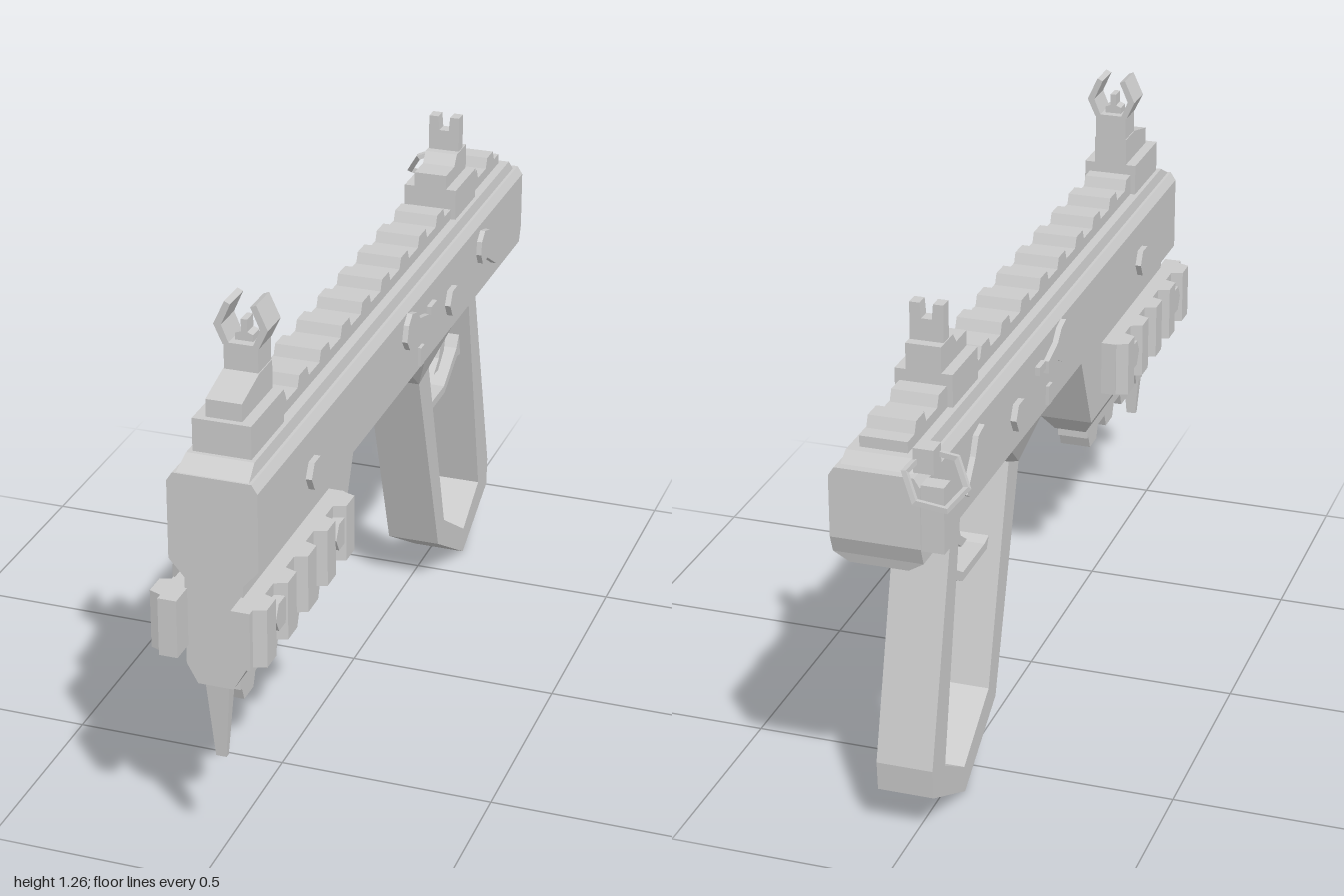
import * as THREE from 'three';
import { ConvexGeometry } from 'three/addons/geometries/ConvexGeometry.js';

const mat = new THREE.MeshStandardMaterial({ color: 0xcccccc, flatShading: true, side: THREE.DoubleSide });

export function createModel() {
  const root = new THREE.Group();
  root.name = 'model';
  const body = new THREE.Group();
  body.name = 'centredParts';
  body.position.x = 0.02;
  root.add(body);

  const add = (name, geo, parent = body) => {
    const m = new THREE.Mesh(geo, mat);
    m.name = name;
    parent.add(m);
    return m;
  };
  const shapeOf = pts => new THREE.Shape(pts.map(p => new THREE.Vector2(...p)));
  // side profile [z, y] extruded from x0 to x1
  const side = (name, pts, x0, x1) => {
    const g = new THREE.ExtrudeGeometry(shapeOf(pts), { depth: x1 - x0, bevelEnabled: false });
    g.rotateY(-Math.PI / 2).translate(x1, 0, 0);
    return add(name, g);
  };
  // front profile [x, y] extruded from z0 to z1
  const front = (name, pts, z0, z1) => {
    const g = new THREE.ExtrudeGeometry(shapeOf(pts), { depth: z1 - z0, bevelEnabled: false });
    return add(name, g.translate(0, 0, z0));
  };
  const box = (name, x0, x1, y0, y1, z0, z1) =>
    add(name, new THREE.BoxGeometry(x1 - x0, y1 - y0, z1 - z0)
      .translate((x0 + x1) / 2, (y0 + y1) / 2, (z0 + z1) / 2));
  // convex block from [half width, y, z] corners, mirrored in x
  const hull = (name, pts) => add(name, new ConvexGeometry(
    pts.flatMap(([x, y, z]) => [new THREE.Vector3(x, y, z), new THREE.Vector3(-x, y, z)])));
  // toothed rail outline along z: base a, root b, tooth top c
  const railProfile = (z0, z1, a, b, c, teeth, wide, narrow) => {
    const pts = [[z0, a], [z0, b]];
    for (const t of teeth) pts.push([t - wide, b], [t - narrow, c], [t + narrow, c], [t + wide, b]);
    pts.push([z1, b], [z1, a]);
    return pts;
  };
  const series = (start, step, n) => Array.from({ length: n }, (_, i) => start + i * step);

  // receiver
  hull('receiver', [
    [0.1, 0.745, 0.94], [0.1, 0.925, 0.94], [0.087, 0.945, 0.94],
    [0.1, 0.745, -0.945], [0.1, 0.785, -0.96], [0.1, 0.925, -0.96], [0.087, 0.945, -0.96]]);
  hull('receiverTop', [
    [0.08, 0.945, 0.935], [0.075, 0.97, 0.89], [0.08, 0.945, -0.94], [0.075, 0.97, -0.92]]);
  hull('receiverUnderside', [
    [0.1, 0.745, 0.94], [0.065, 0.705, 0.94], [0.1, 0.745, -0.16], [0.065, 0.705, -0.16]]);
  hull('gripRoot', [
    [0.1, 0.745, -0.16], [0.065, 0.705, -0.16], [0.065, 0.65, -0.227],
    [0.065, 0.68, -0.297], [0.1, 0.745, -0.377]]);
  hull('rearUnderside', [
    [0.1, 0.745, -0.61], [0.065, 0.71, -0.62], [0.065, 0.71, -0.78],
    [0.065, 0.722, -0.94], [0.1, 0.745, -0.945]]);

  // top rail
  side('topRail', railProfile(-0.9, 0.88, 0.96, 0.995, 1.02,
    series(-0.825, 0.1365, 12), 0.035, 0.024), -0.053, 0.053);

  // fore-end with tapered bottom and lower rail
  side('foreEnd', [[0.94, 0.71], [0.94, 0.5], [0.334, 0.5], [0.243, 0.71]], -0.065, 0.065);
  hull('foreEndBottom', [
    [0.065, 0.5, 0.94], [0.065, 0.5, 0.334], [0.04, 0.455, 0.37], [0.04, 0.455, 0.94]]);
  side('lowerRail', railProfile(0.39, 0.895, 0.46, 0.428, 0.395,
    series(0.44, 0.136, 4), 0.04, 0.027), -0.038, 0.038);
  hull('frontSpike', [
    [0.027, 0.458, 0.932], [0.027, 0.458, 0.898], [0.012, 0.27, 0.918], [0.012, 0.27, 0.905]]);

  // grip frame, trigger guard and trigger
  side('gripFrame', [
    [-0.227, 0.65], [-0.398, 0.13], [-0.612, 0], [-0.815, 0.1], [-0.82, 0.17], [-0.676, 0.715],
    [-0.62, 0.715], [-0.74, 0.14], [-0.615, 0.065], [-0.445, 0.175], [-0.297, 0.68]], -0.065, 0.065);
  side('triggerGuard', [
    [-0.35, 0.515], [-0.365, 0.488], [-0.53, 0.488], [-0.63, 0.545], [-0.66, 0.54],
    [-0.645, 0.6], [-0.625, 0.57], [-0.525, 0.508], [-0.38, 0.508]], -0.035, 0.035);
  side('trigger', [
    [-0.5, 0.75], [-0.525, 0.7], [-0.53, 0.64], [-0.51, 0.59], [-0.47, 0.562], [-0.505, 0.56],
    [-0.55, 0.595], [-0.57, 0.65], [-0.595, 0.75]], -0.025, 0.025);

  // front sight
  box('frontSightBase', -0.065, 0.065, 0.97, 1.045, 0.69, 0.88);
  side('frontSightBlock', [[0.69, 1.04], [0.865, 1.04], [0.865, 1.085], [0.765, 1.11], [0.69, 1.11]], -0.04, 0.04);
  box('frontSightPost', -0.038, 0.038, 1.1, 1.17, 0.69, 0.765);
  front('frontSightPin', [[-0.02, 1.17], [-0.02, 1.185], [-0.007, 1.19], [-0.007, 1.218],
    [0.007, 1.218], [0.007, 1.19], [0.02, 1.185], [0.02, 1.17]], 0.71, 0.745);
  for (const s of [-1, 1])
    front('frontSightEar', [[0.025, 1.165], [0.04, 1.165], [0.06, 1.208], [0.035, 1.262],
      [0.022, 1.256], [0.043, 1.208]].map(([x, y]) => [s * x, y]), 0.69, 0.765);

  // rear sight with notched plate
  box('rearSightBase', -0.065, 0.065, 0.97, 1.045, -0.66, -0.5);
  side('rearSightBlock', [[-0.5, 1.04], [-0.5, 1.08], [-0.565, 1.08], [-0.585, 1.105],
    [-0.66, 1.105], [-0.66, 1.04]], -0.04, 0.04);
  front('rearSightPlate', [[-0.038, 1.1], [-0.038, 1.19], [-0.015, 1.19], [-0.012, 1.155],
    [0.012, 1.155], [0.015, 1.19], [0.038, 1.19], [0.038, 1.1]], -0.637, -0.605);

  // parts repeated on both flanks
  const selector = [[0, 0.905], [-0.025, 0.925], [-0.06, 0.915], [-0.085, 0.89], [-0.152, 0.872],
    [-0.152, 0.842], [-0.085, 0.847], [-0.05, 0.83], [-0.01, 0.84], [0.012, 0.868]];
  const rearLever = [[-0.57, 0.89], [-0.595, 0.91], [-0.635, 0.9], [-0.655, 0.86], [-0.71, 0.795],
    [-0.695, 0.785], [-0.62, 0.83], [-0.58, 0.83], [-0.565, 0.857]];
  for (const s of [-1, 1]) {
    const span = (a, b) => s > 0 ? [a, b] : [-b, -a];
    side('selectorLever', selector, ...span(0.095, 0.113));
    side('rearLever', rearLever, ...span(0.095, 0.113));
    box('selectorStop', ...span(0.095, 0.112), 0.862, 0.882, -0.215, -0.17);
    box('sideButton', ...span(0.095, 0.108), 0.755, 0.802, -0.135, -0.108);
    for (const [z, y, x] of [[0.62, 0.825, 0.1], [-0.35, 0.825, 0.1], [0.875, 0.62, 0.112], [0.5, 0.62, 0.112]])
      add('hexBolt', new THREE.CylinderGeometry(0.037, 0.037, 0.028, 6).rotateZ(Math.PI / 2))
        .position.set(s * x, y, z);
    // side rail: outline in plan [x, z], extruded upward
    const plan = railProfile(0.415, 1, 0.06, 0.102, 0.13, series(0.455, 0.123, 5), 0.037, 0.026)
      .map(([z, x]) => [s * x, -z]);
    add('sideRail', new THREE.ExtrudeGeometry(shapeOf(plan), { depth: 0.135, bevelEnabled: false })
      .rotateX(-Math.PI / 2).translate(0, 0.545, 0));
  }

  // sling ring on the rear right corner
  const sling = new THREE.Group();
  sling.name = 'slingMount';
  root.add(sling);
  add('slingBracket', new THREE.BoxGeometry(0.05, 0.15, 0.04).translate(-0.105, 0.855, -0.935), sling);
  add('slingStub', new THREE.BoxGeometry(0.045, 0.055, 0.045).translate(-0.08, 0.975, -0.915), sling);
  const ring = add('slingRing', new THREE.TorusGeometry(0.066, 0.009, 4, 6), sling);
  ring.position.set(-0.107, 0.938, -0.937);
  ring.quaternion.setFromUnitVectors(new THREE.Vector3(0, 0, 1), new THREE.Vector3(-0.45, 0.65, -0.6).normalize());

  return root;
}
